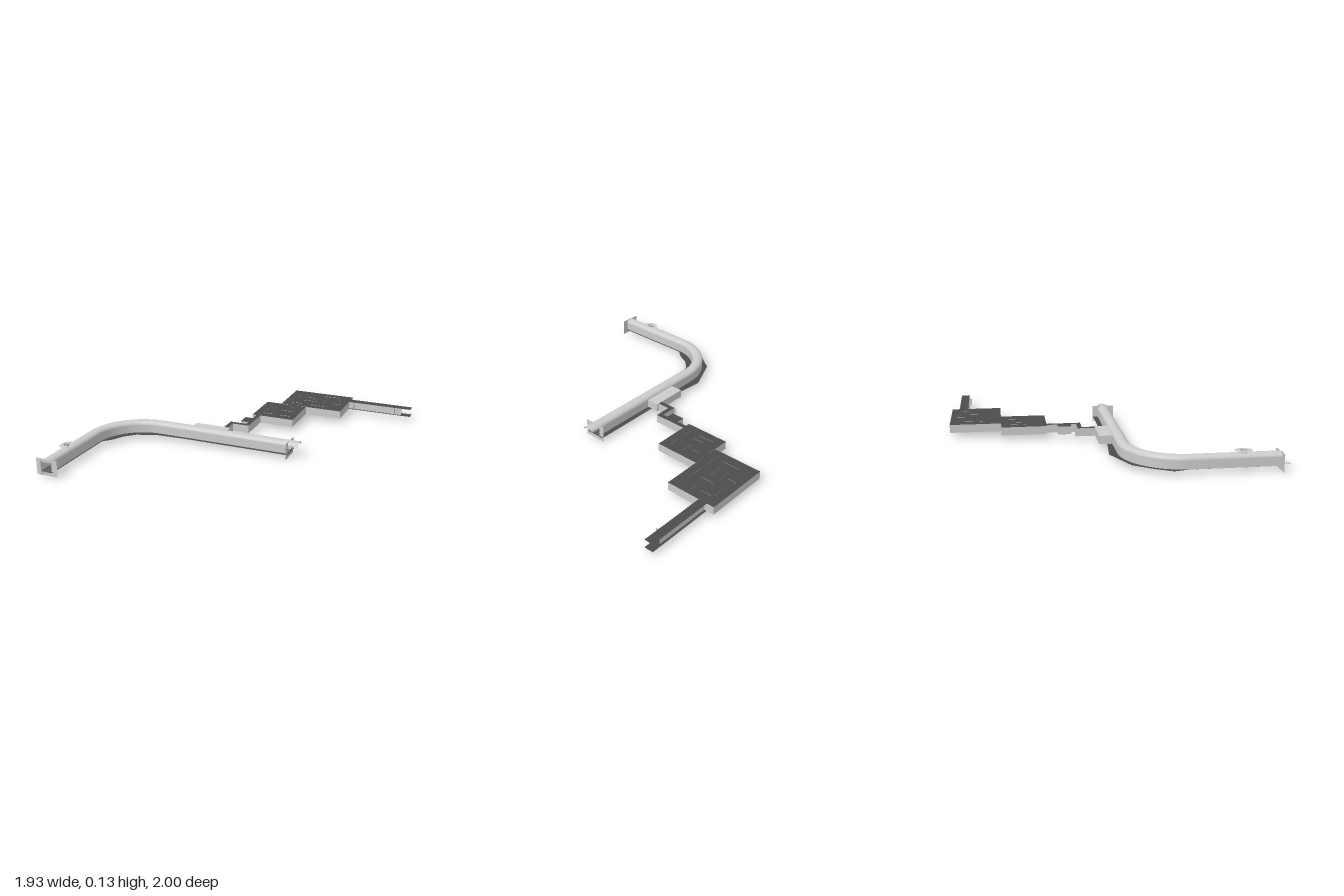
import * as THREE from 'three';

const grey = new THREE.MeshStandardMaterial({ color: 0xcccccc, side: THREE.DoubleSide });
const dark = new THREE.MeshStandardMaterial({ color: 0x4c4c4c, side: THREE.DoubleSide });
const FLOOR = 0.031, CEIL = 0.085;

export function createModel() {
  const root = new THREE.Group();
  const add = (name, geo, mat = grey, parent = root) => {
    const m = new THREE.Mesh(geo, mat);
    m.name = name;
    parent.add(m);
    return m;
  };
  const group = (name) => {
    const g = new THREE.Group();
    g.name = name;
    root.add(g);
    return g;
  };
  // horizontal sheet from an outline of [x, z] points
  const sheet = (name, pts, y, mat, parent) => {
    const shape = new THREE.Shape(pts.map(p => new THREE.Vector2(p[0], p[1])));
    add(name, new THREE.ShapeGeometry(shape).rotateX(Math.PI / 2).translate(0, y, 0), mat, parent);
  };
  // thin upright wall between two [x, z] points
  const wall = (name, a, b, y0, y1, parent) => {
    const dx = b[0] - a[0], dz = b[1] - a[1];
    const m = add(name, new THREE.PlaneGeometry(Math.hypot(dx, dz), y1 - y0), grey, parent);
    m.position.set((a[0] + b[0]) / 2, (y0 + y1) / 2, (a[1] + b[1]) / 2);
    m.rotation.y = -Math.atan2(dz, dx);
  };
  const rect = (x0, x1, z0, z1) => [[x0, z0], [x1, z0], [x1, z1], [x0, z1]];
  // floor, ceiling and walls; open lists wall indices left out
  const room = (name, pts, open = [], ceilMat = dark) => {
    const g = group(name);
    sheet('floor', pts, FLOOR, dark, g);
    sheet('ceiling', pts, CEIL, ceilMat, g);
    pts.forEach((p, i) => {
      if (!open.includes(i)) wall('wall', p, pts[(i + 1) % pts.length], FLOOR, CEIL, g);
    });
    return g;
  };

  // tunnel centre line: straight leg, quarter bend, long straight
  const path = [[-0.897, 0.95], [-0.897, 0.67]];
  for (let i = 0; i <= 16; i++) {
    const a = i / 16 * Math.PI / 2;
    path.push([-0.562 - 0.335 * Math.cos(a), 0.405 - 0.335 * Math.sin(a)]);
  }
  path.push([-0.1, 0.07], [0.37, 0.07]);

  // sweep an open section of [offset, y] points along a centre line
  const sweep = (name, section, line, parent) => {
    const pos = [], idx = [], n = section.length;
    line.forEach((p, i) => {
      const a = line[Math.max(i - 1, 0)], b = line[Math.min(i + 1, line.length - 1)];
      const dx = b[0] - a[0], dz = b[1] - a[1], l = Math.hypot(dx, dz);
      section.forEach(([o, y], j) => {
        pos.push(p[0] - dz / l * o, y, p[1] + dx / l * o);
        if (i && j) {
          const k = i * n + j;
          idx.push(k, k - 1, k - n, k - 1, k - n - 1, k - n);
        }
      });
    });
    const g = new THREE.BufferGeometry();
    g.setAttribute('position', new THREE.Float32BufferAttribute(pos, 3));
    g.setIndex(idx);
    g.computeVertexNormals();
    add(name, g, grey, parent);
  };

  const tunnel = group('tunnel');
  const arch = [];
  for (let i = 0; i <= 10; i++) {
    const a = Math.PI * i / 10;
    arch.push([0.037 * Math.cos(a), 0.085 + 0.025 * Math.sin(a)]);
  }
  sweep('archedRoof', arch, [...path, [0.44, 0.07]], tunnel);
  for (const s of [-1, 1]) {
    sweep('tunnelWall', [[s * 0.037, 0.03], [s * 0.037, 0.085]], path, tunnel);
    sweep('rail', [[s * 0.008, 0.03], [s * 0.008, 0.034]], [[-0.897, 1], ...path], tunnel);
  }
  sheet('tunnelFloor', [
    [-0.935, 0.955], [-0.935, 0.39], [-0.957, 0.3], [-0.9, 0.2], [-0.81, 0.08], [-0.58, -0.02],
    [-0.37, 0], [0.38, 0], [0.38, 0.13], [-0.37, 0.13], [-0.57, 0.14], [-0.7, 0.19],
    [-0.76, 0.25], [-0.8, 0.33], [-0.85, 0.385], [-0.85, 0.955]], 0.03, dark, tunnel);

  // square end frames around the tunnel mouths
  const frameShape = new THREE.Shape([[-0.075, 0], [0.075, 0], [0.075, 0.11], [-0.075, 0.11]]
    .map(p => new THREE.Vector2(...p)));
  frameShape.holes.push(new THREE.Path([[-0.037, 0.031], [-0.037, 0.087], [0.037, 0.087], [0.037, 0.031]]
    .map(p => new THREE.Vector2(...p))));
  const frame = new THREE.ShapeGeometry(frameShape);
  add('frontEndFrame', frame, grey, tunnel).position.set(-0.897, 0, 0.94);
  const sideFrame = add('sideEndFrame', frame, grey, tunnel);
  sideFrame.position.set(0.372, 0, 0.07);
  sideFrame.rotation.y = Math.PI / 2;

  // roof vent: flanged ring on a short shaft
  const vent = group('roofVent');
  vent.position.set(-0.897, 0, 0.717);
  vent.scale.x = 0.8;
  add('ventFlange', new THREE.RingGeometry(0.023, 0.055, 24).rotateX(-Math.PI / 2), grey, vent).position.y = 0.122;
  add('ventShaft', new THREE.CylinderGeometry(0.023, 0.023, 0.024, 24, 1, true), grey, vent).position.y = 0.113;
  add('ventCover', new THREE.CircleGeometry(0.023, 24).rotateX(-Math.PI / 2), dark, vent).position.y = 0.113;
  add('ventCap', new THREE.BoxGeometry(0.012, 0.004, 0.025), grey, vent).position.y = 0.124;

  // platform hall beside the tunnel
  room('platformHall', rect(-0.35, -0.1, -0.05, 0.035), [2], grey);

  // winding passage with a side closet
  room('passage', [[-0.145, -0.05], [-0.145, -0.165], [-0.03, -0.165], [-0.03, -0.36],
    [0, -0.36], [0, -0.135], [-0.115, -0.135], [-0.115, -0.05]], [3, 7]);
  room('closet', rect(-0.085, -0.03, -0.29, -0.2), [1]);
  wall('passageStub', [-0.143, -0.165], [-0.143, -0.183], FLOOR, CEIL, root);

  // two large halls, with low partition walls that break through the ceiling
  const halls = room('halls', [[-0.06, -0.36], [-0.06, -0.66], [0.05, -0.66], [0.05, -1],
    [0.5, -1], [0.5, -0.66], [0.24, -0.66], [0.24, -0.36]]);
  const partitions = [
    [0.05, -0.66, 0.12, -0.66], [0.17, -0.66, 0.24, -0.66],
    [0.0, -0.42, 0.08, -0.42], [0.12, -0.42, 0.2, -0.42], [0.0, -0.5, 0.0, -0.6],
    [0.05, -0.48, 0.05, -0.56], [0.1, -0.52, 0.19, -0.52], [0.15, -0.56, 0.15, -0.62],
    [0.1, -0.72, 0.2, -0.72], [0.26, -0.72, 0.38, -0.72], [0.12, -0.78, 0.12, -0.9],
    [0.18, -0.8, 0.28, -0.8], [0.33, -0.77, 0.33, -0.87], [0.4, -0.8, 0.46, -0.8],
    [0.18, -0.87, 0.26, -0.87], [0.24, -0.9, 0.24, -0.96], [0.3, -0.94, 0.42, -0.94],
    [0.43, -0.85, 0.43, -0.92]];
  for (const [x0, z0, x1, z1] of partitions) {
    wall('partition', [x0, z0], [x1, z1], FLOOR, CEIL + 0.002, halls);
  }

  // long exit corridor, open at its far end
  const exit = group('exitCorridor');
  for (const y of [FLOOR, CEIL]) sheet('corridorSheet', rect(0.5, 0.96, -0.95, -0.89), y, dark, exit);
  for (const z of [-0.905, -0.935]) wall('corridorWall', [0.5, z], [0.89, z], FLOOR, CEIL, exit);
  for (const x of [0.54, 0.845]) wall('doorStub', [x, -0.905], [x, -0.872], FLOOR, CEIL, exit);

  return root;
}
